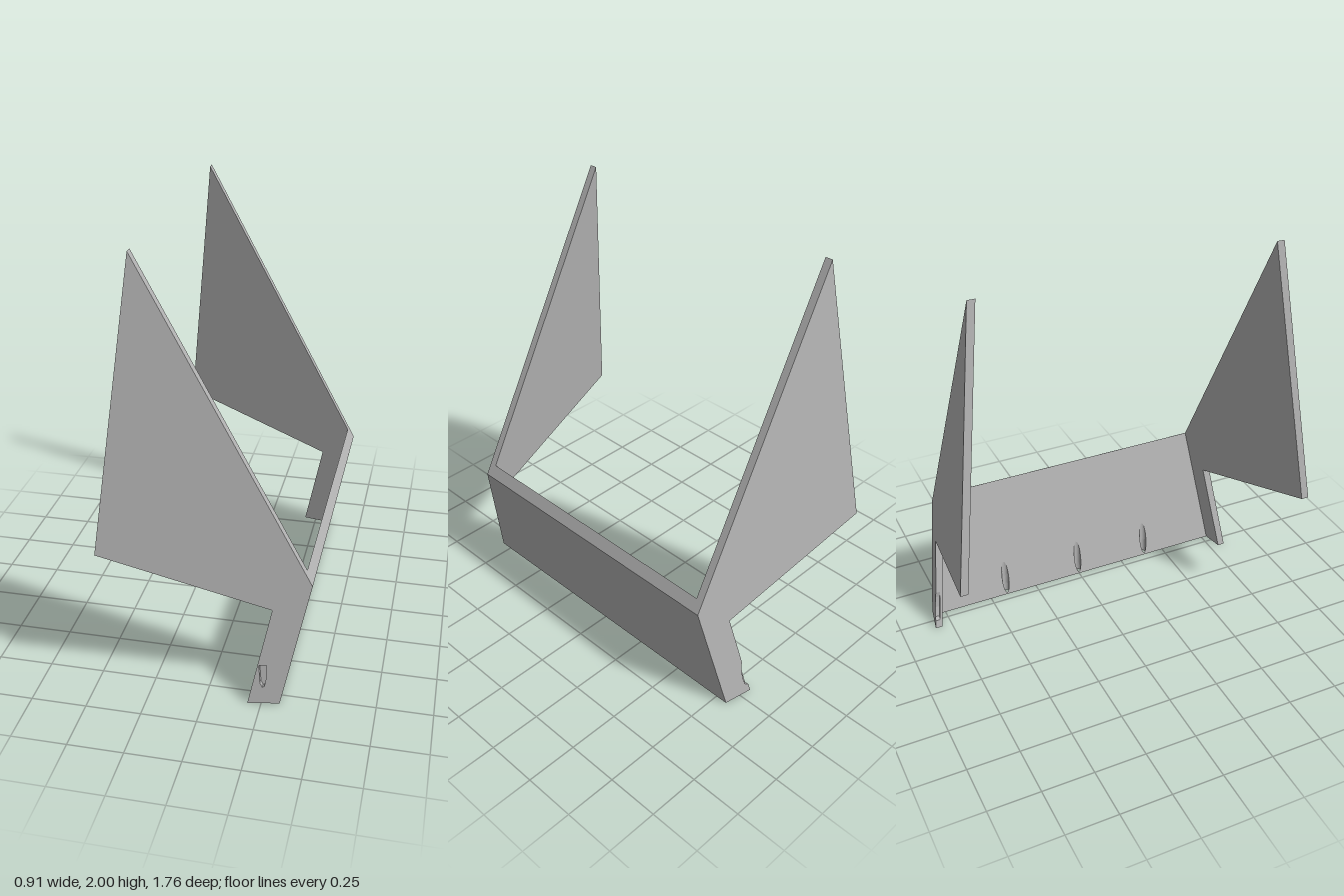
import * as THREE from 'three';
import { mergeGeometries } from 'three/addons/utils/BufferGeometryUtils.js';

const THICK = 0.036;
const SLOPE = 0.206; // lean of the panel: x gained per unit of height
// Outer plane of a wing, and the inner plane one thickness inside it
const outerZ = (x, y) => 0.725 - 0.186 * (x - 0.45) - 0.1062 * (y - 0.575);
const innerZ = (x, y) => outerZ(x, y) - THICK;
const points = (list) => list.map(([x, y]) => new THREE.Vector2(x, y));

// Flat face drawn in 2D, then placed in space by a rule
function face(outline, holes, place) {
  const shape = new THREE.Shape(points(outline));
  holes.forEach((h) => shape.holes.push(new THREE.Path(points(h))));
  const g = new THREE.ShapeGeometry(shape).toNonIndexed();
  g.deleteAttribute('uv');
  const p = g.attributes.position;
  for (let i = 0; i < p.count; i++) p.setXYZ(i, ...place(p.getX(i), p.getY(i)));
  g.computeVertexNormals();
  return g;
}

// One layer of a wing: extruded along z and sheared onto the tilted plane
function wingLayer(outline, holes, side, from, depth) {
  const shape = new THREE.Shape(points(outline));
  holes.forEach((h) => shape.holes.push(new THREE.Path(points(h))));
  const g = new THREE.ExtrudeGeometry(shape, { depth, bevelEnabled: false });
  const p = g.attributes.position;
  for (let i = 0; i < p.count; i++) {
    const z = outerZ(p.getX(i), p.getY(i)) - from;
    p.setZ(i, side > 0 ? z - depth + p.getZ(i) : -z + p.getZ(i));
  }
  g.computeVertexNormals();
  return g;
}

// Leaning panel with vertical screw holes running from its inner face to its base
function panelGeometry() {
  const innerX = (y) => 0.29 + SLOPE * y;
  const a = innerZ(0.29, 0), b = innerZ(0.33, 0);
  const c = innerZ(0.45, 0.575), d = innerZ(0.42, 0.631);
  const baseHoles = [], slots = [], walls = [];
  const R = 0.018, N = 20;
  for (const z0 of [-0.4, 0.01, 0.4].map((z) => z - 0.01)) {
    const ring = [];
    for (let i = 0; i < N; i++) {
      const t = (i / N) * Math.PI * 2;
      ring.push([z0 + R * Math.cos(t), 0.31 + R * Math.sin(t)]);
    }
    baseHoles.push(ring);
    slots.push(ring.map(([z, x]) => [z, (x - 0.29) / SLOPE]));
    // Round wall, cut off where it meets the leaning face
    const wall = new THREE.CylinderGeometry(R, R, 1, N, 1, true).toNonIndexed();
    wall.deleteAttribute('uv');
    const p = wall.attributes.position;
    for (let i = 0; i < p.count; i++) {
      const x = 0.31 + p.getX(i);
      p.setXYZ(i, x, p.getY(i) > 0 ? (x - 0.29) / SLOPE : 0, z0 + p.getZ(i));
    }
    wall.computeVertexNormals();
    walls.push(wall);
  }
  return mergeGeometries([
    face([[-a, 0], [a, 0], [d, 0.631], [-d, 0.631]], slots, (z, y) => [innerX(y), y, z]),
    face([[-b, 0], [b, 0], [c, 0.575], [-c, 0.575]], [], (z, y) => [0.33 + 0.2087 * y, y, z]),
    face([[-a, 0.29], [a, 0.29], [b, 0.33], [-b, 0.33]], baseHoles, (z, x) => [x, 0, z]),
    face([[-d, 0.42], [d, 0.42], [c, 0.45], [-c, 0.45]], [],
      (z, x) => [x, 0.575 + (0.45 - x) * 1.875, z]),
    ...walls,
  ]);
}

export function createModel() {
  const model = new THREE.Group();
  const grey = new THREE.MeshStandardMaterial({ color: 0xb4b4b4, side: THREE.DoubleSide });
  grey.name = 'grey';
  const add = (name, geometry) => {
    const mesh = new THREE.Mesh(geometry, grey);
    mesh.name = name;
    model.add(mesh);
  };

  add('panel', panelGeometry());

  // Wing outline, ending at the foot of its front edge
  const outline = [[0.19, 0], [0.33, 0], [0.45, 0.575], [-0.31, 2], [-0.46, 0.71], [0.285, 0.46]];
  const notch = [[0.229, 0.19], [0.233, 0.16], [0.23, 0.1], [0.218, 0.05], [0.199, 0.04]];
  const slot = [[0.235, 0.19], [0.243, 0.1], [0.253, 0.08], [0.262, 0.085], [0.269, 0.13], [0.269, 0.19]];
  const half = THICK * 0.6;

  // Outer layers carry the screw cutouts, inner layers back them
  add('leftWingOuter', wingLayer(outline, [slot], 1, 0, half));
  add('rightWingOuter', wingLayer([...outline, ...notch], [], -1, 0, half));
  add('leftWingInner', wingLayer(outline, [], 1, half, THICK - half));
  add('rightWingInner', wingLayer(outline, [], -1, half, THICK - half));

  return model;
}
